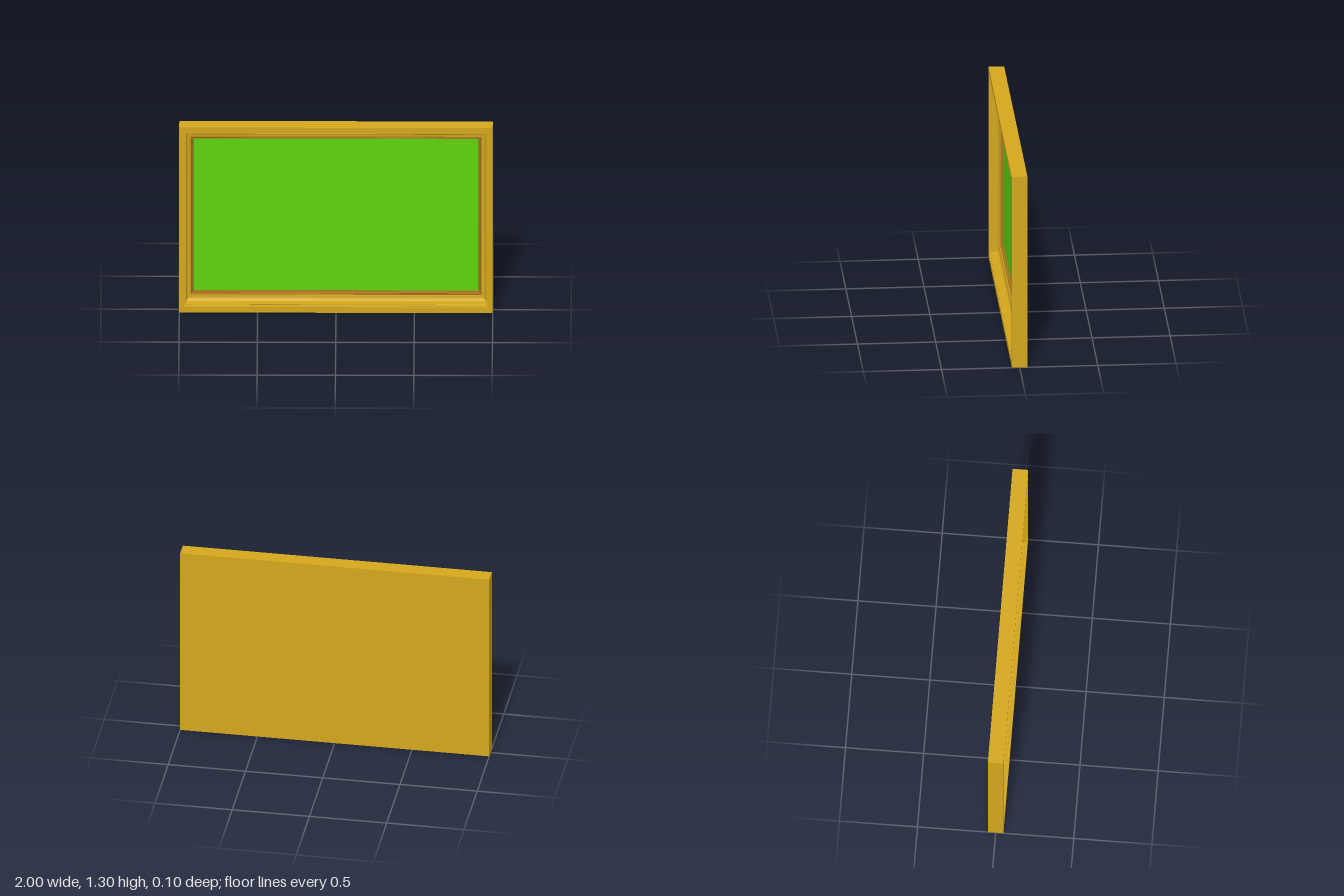
import * as THREE from 'three';
import { toCreasedNormals } from 'three/addons/utils/BufferGeometryUtils.js';

const W = 2, H = 1.3, D = 0.1;
const RATIO = 1.3; // rails are wider than stiles by this factor

// Moulding swept round a mitred rectangle; profile points are [inset, z]
function mitredRing(profile) {
  const pos = [], index = [];
  for (const [t, z] of profile) {
    const x = W / 2 - t, y = H / 2 - t * RATIO;
    pos.push(-x, -y, z, x, -y, z, x, y, z, -x, y, z);
  }
  for (let i = 0; i < profile.length - 1; i++) {
    for (let k = 0; k < 4; k++) {
      const a = i * 4 + k, b = i * 4 + (k + 1) % 4;
      index.push(a, b, b + 4, a, b + 4, a + 4);
    }
  }
  const g = new THREE.BufferGeometry();
  g.setAttribute('position', new THREE.Float32BufferAttribute(pos, 3));
  g.setIndex(index);
  return toCreasedNormals(g, 0.5);
}

// Points of an elliptical arc, used for coves and beads
function arc(cx, cz, rx, rz, from, to, n = 6) {
  return Array.from({ length: n + 1 }, (_, i) => {
    const a = from + (to - from) * i / n;
    return [cx + rx * Math.cos(a), cz + rz * Math.sin(a)];
  });
}

export function createModel() {
  const group = new THREE.Group();
  const gold = new THREE.MeshStandardMaterial({ color: 0xd4a71d });
  const darkGold = new THREE.MeshStandardMaterial({ color: 0xa8741c });
  const green = new THREE.MeshStandardMaterial({ color: 0x5ed40e });
  const add = (name, geometry, material) => {
    const mesh = new THREE.Mesh(geometry, material);
    mesh.name = name;
    mesh.position.y += H / 2;
    group.add(mesh);
    return mesh;
  };

  // Outer sides, flat rim, groove, bead, cove and inner ledge
  add('frameMoulding', mitredRing([
    [0, -D / 2], [0, D / 2], [0.03, D / 2],
    [0.031, 0.044], [0.034, 0.044], [0.035, 0.03],
    ...arc(0.0385, 0.03, 0.0025, 0.004, Math.PI, 0),
    [0.041, 0.015],
    ...arc(0.065, 0.015, 0.022, 0.03, Math.PI, Math.PI * 1.5),
    [0.071, -0.016], [0.072, -0.022],
  ]), gold);

  // Stepped inner slip with a small bead
  add('innerSlip', mitredRing([
    [0.072, -0.022], [0.076, -0.022], [0.077, -0.03],
    ...arc(0.0805, -0.03, 0.0025, 0.004, Math.PI, 0),
    [0.084, -0.036], [0.089, -0.036], [0.09, -0.042],
  ]), darkGold);

  // Picture panel set deep in the frame
  add('picture', new THREE.PlaneGeometry(W - 0.18, H - 0.18 * RATIO), green).position.z = -0.04;

  // Closed back
  const back = add('backPanel', new THREE.PlaneGeometry(W, H), gold);
  back.rotation.y = Math.PI;
  back.position.z = -D / 2;

  return group;
}
